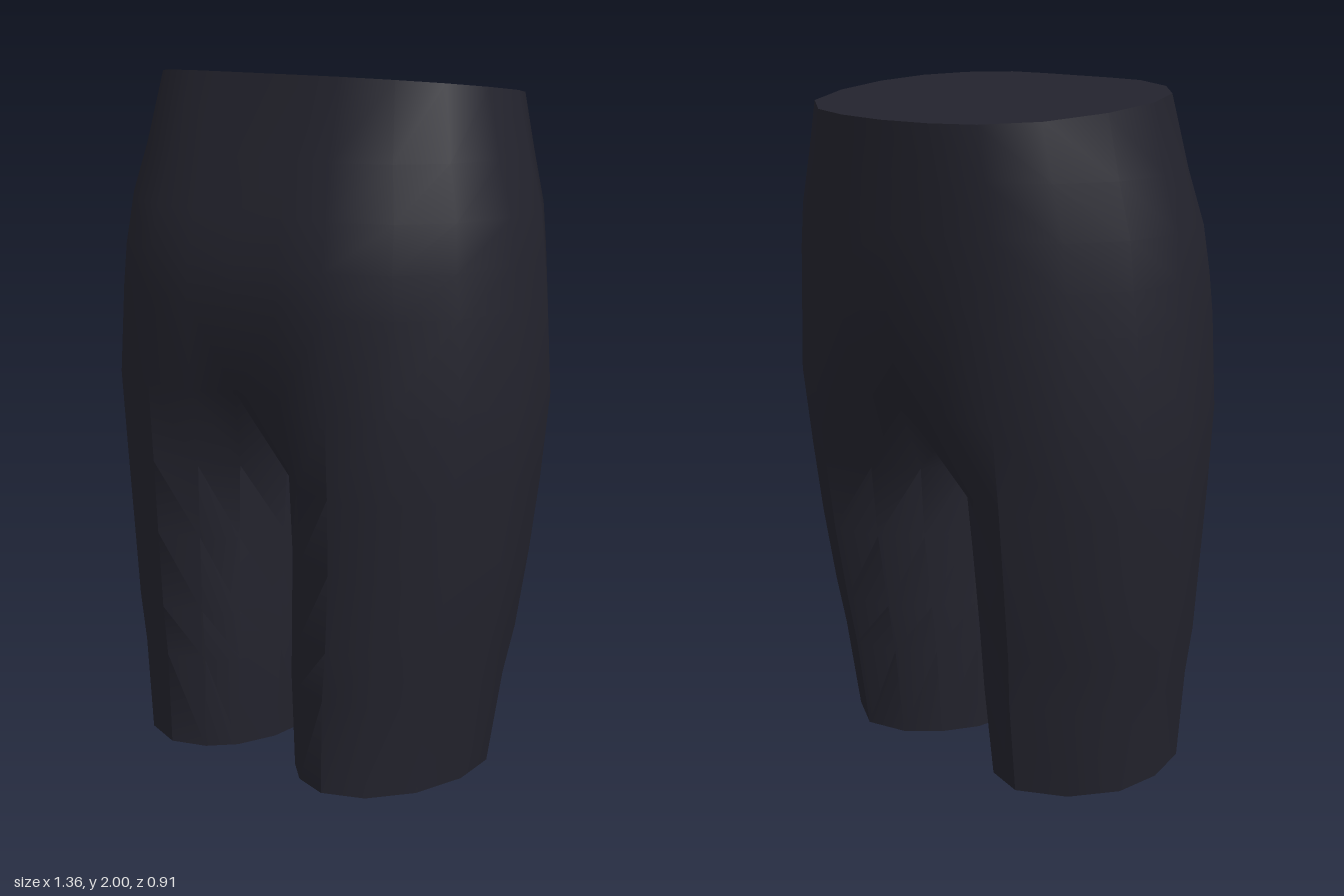
import * as THREE from 'three';

// Leg cross-section (u: inner to outer, v: back to front), from the front ridge round the
// outside to the back ridge (index 6), then back along the inner thigh.
const LEG = [
  [0.47, 1], [0.71, 0.93], [0.9, 0.76], [1, 0.53], [0.985, 0.31], [0.82, 0.115], [0.55, 0],
  [0.3, 0.05], [0.13, 0.17], [0.02, 0.33], [0, 0.5], [0.02, 0.68], [0.12, 0.85], [0.26, 0.95],
];
// Half torso section, centre front to centre back, as factors of width and depth
const TORSO = [
  [0, 1], [0.24, 1], [0.47, 0.98], [0.73, 0.8], [0.91, 0.51], [1, 0.09],
  [0.98, -0.31], [0.84, -0.67], [0.585, -0.89], [0.32, -0.97], [0, -1],
];
// y, inner x, outer x, back z, front z
const LEG_ROWS = [
  [0, 0.05, 0.55, -0.26, 0.42], [0.28, 0.03, 0.585, -0.295, 0.423], [0.43, 0.028, 0.615, -0.315, 0.425],
  [0.66, 0.025, 0.642, -0.347, 0.427], [0.88, 0.012, 0.664, -0.372, 0.435],
];
// y, half width, back depth, front depth
const TORSO_ROWS = [
  [1.38, 0.665, 0.44, 0.455], [1.5, 0.65, 0.45, 0.45], [1.63, 0.635, 0.45, 0.422],
  [1.78, 0.592, 0.45, 0.375], [null, 0.55, 0.453, 0.313],
];
// Leg ring indices that carry on upward into the torso
const TORSO_ORDER = [12, 13, 0, 1, 2, 3, 4, 5, 6, 7, 8];

const legRing = ([y, xi, xo, zb, zf]) => LEG.map(([u, v]) => [xi + u * (xo - xi), y, zb + v * (zf - zb)]);

const torsoRing = ([y, w, zb, zf]) => TORSO.map(([a, b]) => {
  const z = b * (b > 0 ? zf : zb);
  return [a * w, y ?? 2 - 0.104 * (0.313 - z), z]; // waist slopes down to the back
});

// The ring where the leg joins the torso and the inner thigh meets the centre seam
function crotchRing() {
  const ring = legRing([1.12, 0, 0.68, -0.4, 0.448]);
  ring[7] = [0.19, 1.13, -0.412];
  ring[8] = [0, 1.14, -0.405];
  ring[9] = [0, 1.0, -0.22];
  ring[10] = [0, 0.95, 0];
  ring[11] = [0, 1.0, 0.24];
  ring[12] = [0, 1.13, 0.435];
  ring[13] = [0.16, 1.12, 0.447];
  return ring;
}

// Collects triangles, sharing vertices that have the same position and crease tag
function builder() {
  const positions = [], index = [], seen = new Map();
  const vertex = (p, tag) => {
    const key = p.map((n) => (n + 0).toFixed(4).replace('-0.0000', '0.0000')).join() + tag;
    if (!seen.has(key)) {
      seen.set(key, positions.length / 3);
      positions.push(...p);
    }
    return seen.get(key);
  };
  const tri = (pts, tags = ['', '', '']) => index.push(...pts.map((p, i) => vertex(p, tags[i])));
  // Adds the triangle and its mirror image
  const both = (pts, tags = ['', '', '']) => {
    tri(pts, tags);
    const m = pts.map(([x, y, z]) => [-x, y, z]);
    tri([m[0], m[2], m[1]], [tags[0], tags[2], tags[1]]);
  };
  const build = () => {
    const g = new THREE.BufferGeometry();
    g.setAttribute('position', new THREE.Float32BufferAttribute(positions, 3));
    g.setIndex(index);
    g.computeVertexNormals();
    return g;
  };
  return { tri, both, build };
}

function fabricGeometry() {
  const b = builder();
  const rows = [...LEG_ROWS.map(legRing), crotchRing()];
  const n = LEG.length;
  // Legs: the inner panel is tagged along both ridges so the ridges stay crisp
  for (let r = 0; r < rows.length - 1; r++) {
    for (let i = 0; i < n; i++) {
      const j = (i + 1) % n;
      const low = i >= 6 ? 'inner' : '';
      b.both([rows[r][i], rows[r][j], rows[r + 1][j]], [low, low, '']);
      // The tag is dropped where the ring joins the torso
      const up = r + 1 < rows.length - 1 ? low : '';
      if (up) b.both([rows[r][i], rows[r + 1][j], rows[r + 1][i]], [low, up, up]);
      else b.both([rows[r][i], rows[r + 1][j], rows[r + 1][i]], [low, '', '']);
    }
  }
  // Hips and waist
  const crotch = rows[rows.length - 1];
  const hips = [TORSO_ORDER.map((i) => crotch[i]), ...TORSO_ROWS.map(torsoRing)];
  for (let r = 0; r < hips.length - 1; r++) {
    for (let i = 0; i < TORSO.length - 1; i++) {
      b.both([hips[r][i], hips[r][i + 1], hips[r + 1][i + 1]]);
      b.both([hips[r][i], hips[r + 1][i + 1], hips[r + 1][i]]);
    }
  }
  return b.build();
}

// Flat closing face over the waist
function waistGeometry() {
  const b = builder();
  const ring = torsoRing(TORSO_ROWS[TORSO_ROWS.length - 1]);
  const centre = [0, 2 - 0.104 * 0.313, 0];
  for (let i = 0; i < ring.length - 1; i++) b.both([centre, ring[i], ring[i + 1]]);
  return b.build();
}

// Flat closing faces under both legs
function hemGeometry() {
  const b = builder();
  const ring = legRing(LEG_ROWS[0]);
  ring.forEach((p, i) => b.both([[0.3, 0, 0.08], ring[(i + 1) % ring.length], p]));
  return b.build();
}

export function createModel() {
  const group = new THREE.Group();
  group.name = 'shorts';
  const fabric = new THREE.MeshStandardMaterial({ color: 0x23232d });
  fabric.name = 'dark navy fabric';
  const add = (name, geometry) => {
    const mesh = new THREE.Mesh(geometry, fabric);
    mesh.name = name;
    group.add(mesh);
  };
  add('hipsAndLegs', fabricGeometry());
  add('waistFace', waistGeometry());
  add('legHemFaces', hemGeometry());
  return group;
}
